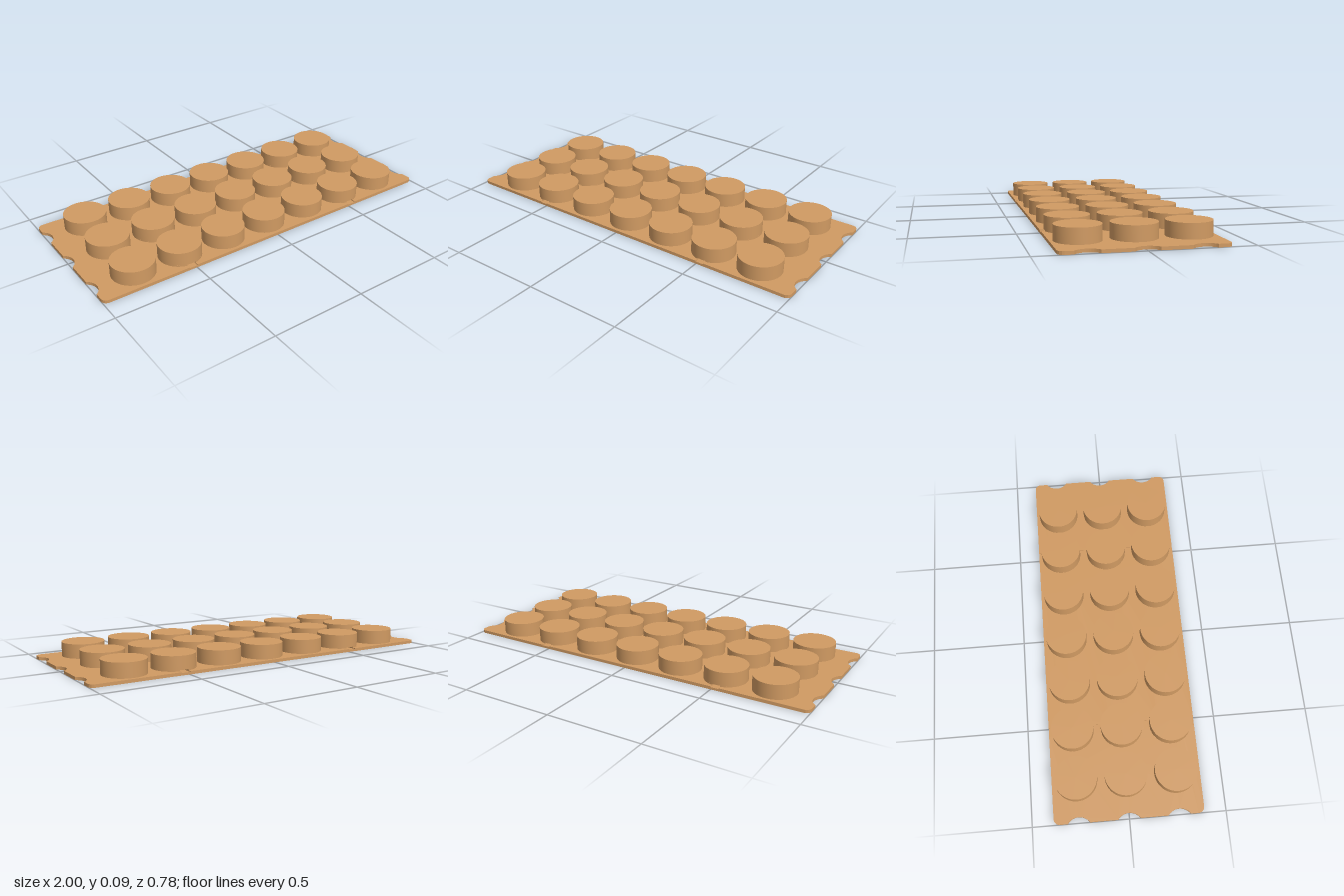
import * as THREE from 'three';
import { toCreasedNormals } from 'three/addons/utils/BufferGeometryUtils.js';

const PITCH = 0.26, CUP_R = 0.111, HOLE_R = 0.07, HALF_Z = 0.388;
const PLATE_TOP = 0.016, CUP_TOP = 0.091, HOLE_TOP = 0.055;
const CHANNEL_X = 2 * PITCH, CHANNEL_W = 0.022, CHANNEL_Y0 = 0.012, CHANNEL_Y1 = 0.022;
const ROWS = [-PITCH, 0, PITCH];

// Plate outline whose left and right edges are bitten by circles centred at x = cL and x = cR
function plateShape(xL, cL, rL, xR, cR, rR) {
  const s = new THREE.Shape();
  s.moveTo(xL + rL, -HALF_Z);
  s.lineTo(xR - rR, -HALF_Z);
  if (rR) s.absarc(xR - rR, -HALF_Z + rR, rR, -Math.PI / 2, 0, false);
  for (const z of ROWS) {
    const a = Math.acos((cR - xR) / HOLE_R);
    s.absarc(cR, z, HOLE_R, Math.PI + a, Math.PI - a, true);
  }
  if (rR) s.absarc(xR - rR, HALF_Z - rR, rR, 0, Math.PI / 2, false);
  else s.lineTo(xR, HALF_Z);
  if (rL) s.absarc(xL + rL, HALF_Z - rL, rL, Math.PI / 2, Math.PI, false);
  else s.lineTo(xL, HALF_Z);
  for (const z of [...ROWS].reverse()) {
    const a = Math.acos((xL - cL) / HOLE_R);
    s.absarc(cL, z, HOLE_R, a, -a, true);
  }
  if (rL) s.absarc(xL + rL, -HALF_Z + rL, rL, Math.PI, Math.PI * 1.5, false);
  else s.lineTo(xL, -HALF_Z);
  return s;
}

function addHoles(shape, columns) {
  for (const c of columns) for (const z of ROWS) {
    const hole = new THREE.Path();
    hole.absarc(c * PITCH, z, HOLE_R, 0, Math.PI * 2, true);
    shape.holes.push(hole);
  }
  return shape;
}

// Upright slab between heights y0 and y1
function slab(shape, y0, y1) {
  const g = new THREE.ExtrudeGeometry(shape, { depth: y1 - y0, bevelEnabled: false, curveSegments: 32 });
  g.rotateX(-Math.PI / 2).translate(0, y0, 0);
  return toCreasedNormals(g, 0.6);
}

// Hollow cup, open underneath, with its rim at height y0
function cupGeometry(y0) {
  const profile = [
    [0, HOLE_TOP], [HOLE_R, HOLE_TOP], [HOLE_R, y0],
    [CUP_R, y0], [CUP_R, CUP_TOP], [0, CUP_TOP],
  ].map(([x, y]) => new THREE.Vector2(x, y));
  return toCreasedNormals(new THREE.LatheGeometry(profile, 64), 0.6);
}

// Half of a cup's foot, beside the channel
function footShape() {
  const A = Math.acos(CHANNEL_W / CUP_R), a = Math.acos(CHANNEL_W / HOLE_R);
  const s = new THREE.Shape();
  s.absarc(0, 0, CUP_R, -A, A, false);
  s.absarc(0, 0, HOLE_R, a, -a, true);
  return s;
}

export function createModel() {
  const model = new THREE.Group();
  model.name = 'cupTray';
  const tan = new THREE.MeshStandardMaterial({ color: 0xd09a62 });
  tan.name = 'tan';
  const add = (name, geometry, parent = model) => {
    const mesh = new THREE.Mesh(geometry, tan);
    mesh.name = name;
    parent.add(mesh);
    return mesh;
  };

  // Base plate: a full lower layer, and an upper layer parted by two channels
  const edge = 4 * PITCH, round = 0.03;
  const inner = CHANNEL_X - CHANNEL_W, outer = CHANNEL_X + CHANNEL_W;
  add('plateBottom', slab(addHoles(plateShape(-1, -edge, round, 1, edge, round),
    [-3, -2, -1, 0, 1, 2, 3]), 0, CHANNEL_Y0));
  add('plateMiddle', slab(addHoles(plateShape(-inner, -CHANNEL_X, 0, inner, CHANNEL_X, 0),
    [-1, 0, 1]), CHANNEL_Y0, PLATE_TOP));
  add('plateLeftEnd', slab(addHoles(plateShape(outer, CHANNEL_X, 0, 1, edge, round),
    [3]), CHANNEL_Y0, PLATE_TOP));
  add('plateRightEnd', slab(addHoles(plateShape(-1, -edge, round, -outer, -CHANNEL_X, 0),
    [-3]), CHANNEL_Y0, PLATE_TOP));

  // Seven by three cups; those over a channel stand on split feet
  const plainCup = cupGeometry(PLATE_TOP), raisedCup = cupGeometry(CHANNEL_Y1);
  const foot = slab(footShape(), PLATE_TOP, CHANNEL_Y1);
  for (let c = -3; c <= 3; c++) for (const z of ROWS) {
    const cup = new THREE.Group();
    cup.name = 'cup';
    cup.position.set(c * PITCH, 0, z);
    const overChannel = Math.abs(c) === 2;
    add('cupBody', overChannel ? raisedCup : plainCup, cup);
    if (overChannel) for (const turn of [0, Math.PI]) add('cupFoot', foot, cup).rotation.y = turn;
    model.add(cup);
  }
  return model;
}
